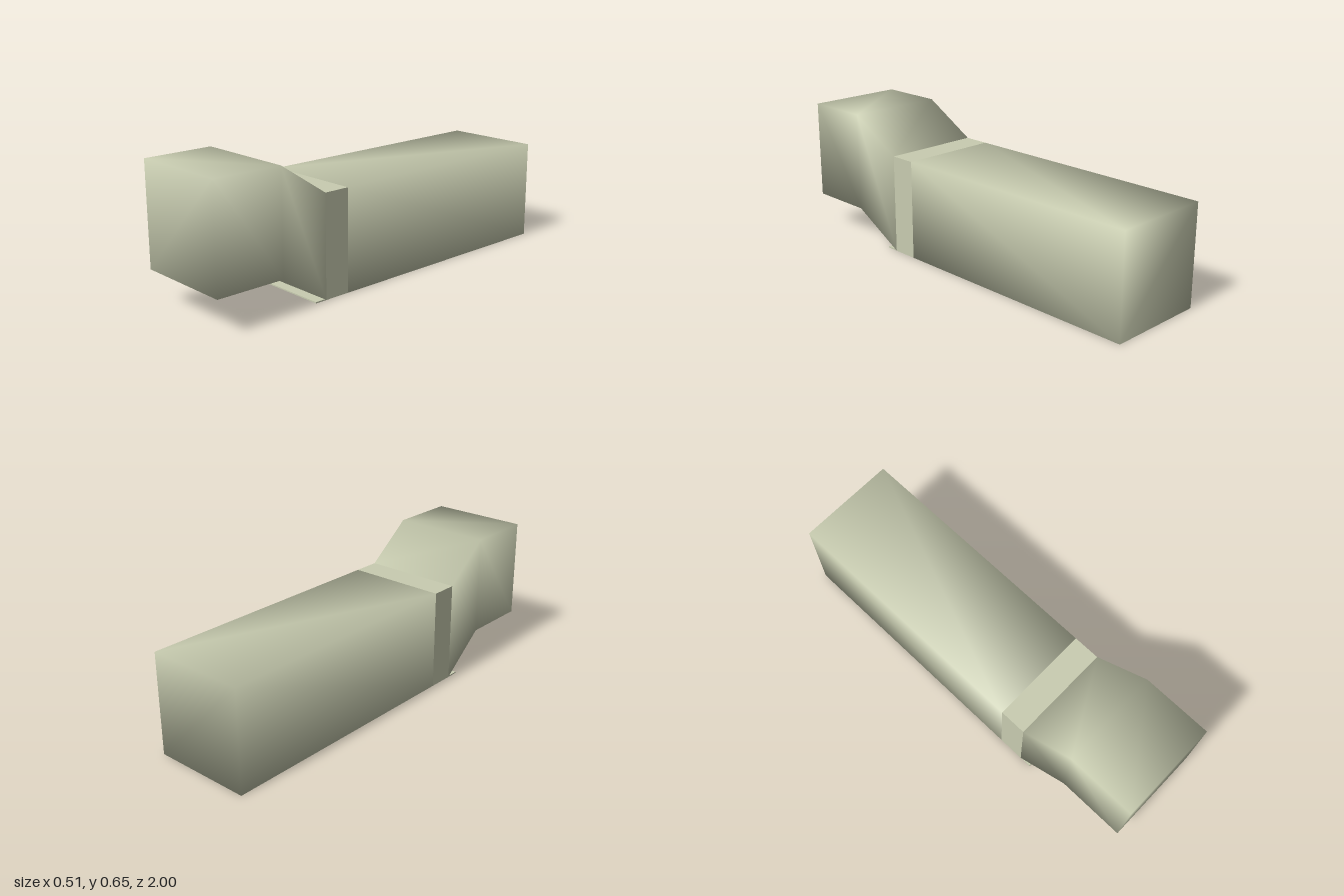
import * as THREE from 'three';

const material = new THREE.MeshStandardMaterial({ color: 0xc8ccb0, side: THREE.DoubleSide });

// Closed loft through square sections [centreX, bottomY, z], sharing corners for soft shading.
function loft(name, sections, size = 0.49, height = size) {
  const positions = [], index = [];
  for (const [cx, y, z] of sections) {
    const a = cx - size / 2, b = cx + size / 2;
    positions.push(a, y, z, b, y, z, b, y + height, z, a, y + height, z);
  }
  const quad = (a, b, c, d) => index.push(a, b, c, a, c, d);
  for (let k = 0; k < sections.length - 1; k++) {
    for (let i = 0; i < 4; i++) {
      const a = k * 4 + i, b = k * 4 + (i + 1) % 4;
      quad(a, b, b + 4, a + 4);
    }
  }
  const e = (sections.length - 1) * 4;
  quad(3, 2, 1, 0);
  quad(e, e + 1, e + 2, e + 3);
  const geometry = new THREE.BufferGeometry();
  geometry.setAttribute('position', new THREE.Float32BufferAttribute(positions, 3));
  geometry.setIndex(index);
  geometry.computeVertexNormals();
  const mesh = new THREE.Mesh(geometry, material);
  mesh.name = name;
  return mesh;
}

export function createModel() {
  const group = new THREE.Group();
  group.name = 'offsetBlock';

  // Long rear body
  group.add(loft('body', [[-0.01, 0, -1], [-0.01, 0, 0.28]]));

  // Short collar, crisp edged
  const collar = new THREE.Mesh(new THREE.BoxGeometry(0.49, 0.49, 0.13), material);
  collar.position.set(-0.01, 0.245, 0.345);
  collar.name = 'collar';
  group.add(collar);

  // Sloping neck that steps up and sideways into the head
  group.add(loft('head', [[-0.01, 0, 0.41], [0.01, 0.165, 0.665], [0.01, 0.165, 1]]));

  // Thin lip under the neck
  const lip = new THREE.Mesh(new THREE.BoxGeometry(0.49, 0.006, 0.06), material);
  lip.position.set(-0.01, 0.003, 0.44);
  lip.name = 'lowerLip';
  group.add(lip);

  return group;
}
